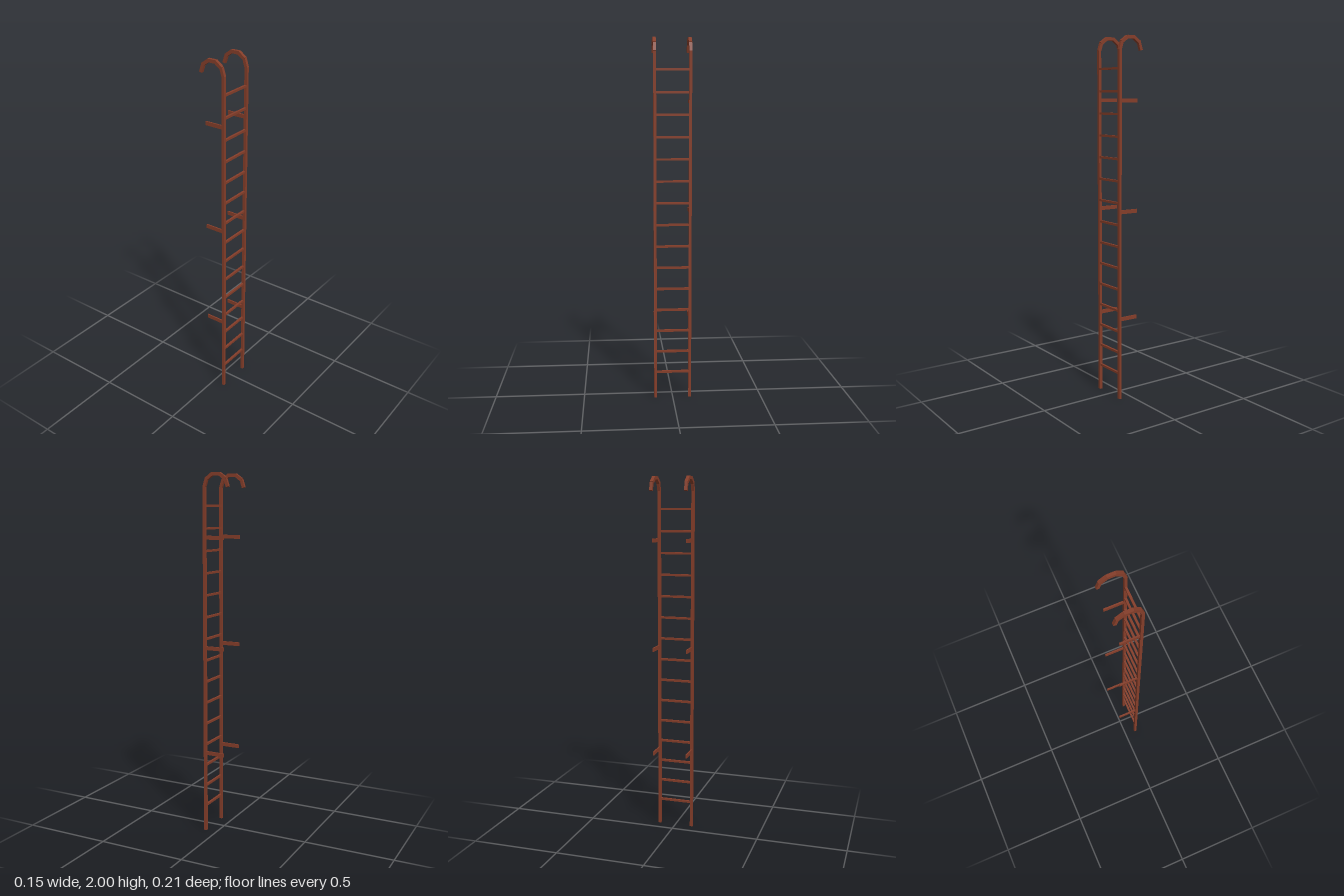
import * as THREE from 'three';

const RAIL_X = 0.069, RAIL_Z = 0.0965, HOOK_Y = 1.926;

export function createModel() {
  const group = new THREE.Group();
  group.name = 'ladder';
  const rust = new THREE.MeshStandardMaterial({ color: 0x843d29 });
  rust.name = 'rusty brown';

  const add = (name, geometry, parent = group) => {
    const mesh = new THREE.Mesh(geometry, rust);
    mesh.name = name;
    parent.add(mesh);
    return mesh;
  };

  // Square bar between two points, slightly lengthened to close the joints
  const bar = (name, a, b, width, extra = 0, parent = group) => {
    const dir = b.clone().sub(a);
    const mesh = add(name, new THREE.BoxGeometry(width, dir.length() + extra, width), parent);
    mesh.position.copy(a).add(b).multiplyScalar(0.5);
    mesh.quaternion.setFromUnitVectors(new THREE.Vector3(0, 1, 0), dir.normalize());
    return mesh;
  };

  for (const side of [1, -1]) {
    const z = side * RAIL_Z;
    const label = side > 0 ? 'front' : 'back';

    // Upright rail
    bar(label + 'Rail', new THREE.Vector3(RAIL_X, 0, z), new THREE.Vector3(RAIL_X, HOOK_Y, z), 0.016);

    // Hooked top: five straight chords of a half circle, a little thicker in the middle
    const hook = new THREE.Group();
    hook.name = label + 'Hook';
    group.add(hook);
    const point = (i) => {
      const a = (i * Math.PI) / 5;
      return new THREE.Vector3(RAIL_X * Math.cos(a), HOOK_Y + RAIL_X * Math.sin(a), z);
    };
    for (let i = 0; i < 5; i++) {
      bar('hookSegment', point(i), point(i + 1), i % 4 ? 0.018 : 0.0165, 0.004, hook);
    }

    // Wall brackets
    for (const y of [0.46, 1.06, 1.66]) {
      add(label + 'Bracket', new THREE.BoxGeometry(0.113, 0.021, 0.008)).position.set(0.0115, y, z);
    }
  }

  // Rungs
  for (let i = 0; i < 15; i++) {
    const y = 0.148 + i * 0.12;
    bar('rung', new THREE.Vector3(RAIL_X, y, -RAIL_Z), new THREE.Vector3(RAIL_X, y, RAIL_Z), 0.012);
  }
  return group;
}
